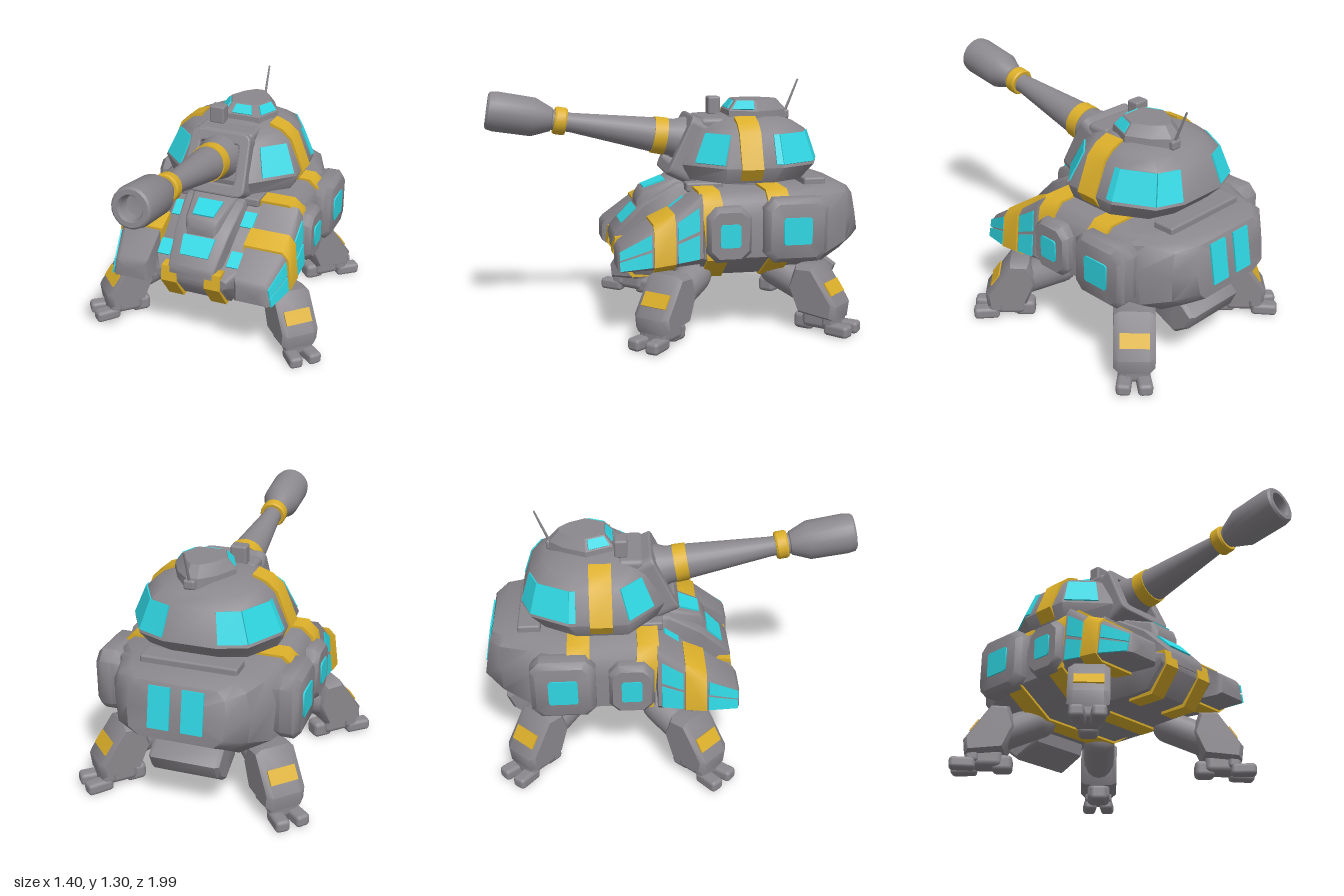
import * as THREE from 'three';
import { toCreasedNormals } from 'three/addons/utils/BufferGeometryUtils.js';
import { RoundedBoxGeometry } from 'three/addons/geometries/RoundedBoxGeometry.js';

const mat = (name, color) => Object.assign(new THREE.MeshStandardMaterial({ color }), { name });
const V = (x, y, z) => new THREE.Vector3(x, y, z);
const lerp = THREE.MathUtils.lerp;

// Closed skin over a list of equal-length rings, turned outward and creased
function loft(rings, crease = 0.8) {
  const n = rings[0].length, pts = rings.flat(), idx = [];
  for (let r = 0; r < rings.length - 1; r++)
    for (let i = 0; i < n; i++) {
      const a = r * n + i, b = r * n + (i + 1) % n;
      idx.push(a, b, b + n, a, b + n, a + n);
    }
  [0, rings.length - 1].forEach((r, end) => {
    const c = pts.length;
    pts.push(rings[r].reduce((s, p) => s.add(p), V(0, 0, 0)).divideScalar(n));
    for (let i = 0; i < n; i++) {
      const a = r * n + i, b = r * n + (i + 1) % n;
      idx.push(c, end ? a : b, end ? b : a);
    }
  });
  let vol = 0;
  for (let i = 0; i < idx.length; i += 3)
    vol += pts[idx[i]].dot(V(0, 0, 0).crossVectors(pts[idx[i + 1]], pts[idx[i + 2]]));
  if (vol < 0) idx.reverse();
  const g = new THREE.BufferGeometry().setFromPoints(pts);
  g.setIndex(idx);
  return toCreasedNormals(g, crease);
}

// Thin plate over a polygon, raised away from the point ref
function plate(pts, ref) {
  const n = V(0, 0, 0).crossVectors(pts[2].clone().sub(pts[0]), pts[3].clone().sub(pts[1])).normalize();
  if (n.dot(pts[0].clone().sub(ref)) < 0) n.negate();
  return loft([-0.001, 0.008].map(d => pts.map(p => p.clone().addScaledVector(n, d))));
}

// Side profile of [z, y] points swept from x0 to x1 with bevelled ends
function slab(profile, x0, x1, bevel = 0, shrink = 0.85) {
  const n = profile.length;
  const cz = profile.reduce((s, p) => s + p[0], 0) / n, cy = profile.reduce((s, p) => s + p[1], 0) / n;
  const ring = (x, k) => profile.map(([z, y]) => V(x, cy + (y - cy) * k, cz + (z - cz) * k));
  return loft(bevel ? [ring(x0, shrink), ring(x0 + bevel, 1), ring(x1 - bevel, 1), ring(x1, shrink)]
    : [ring(x0, 1), ring(x1, 1)]);
}

// Full ring from the +x half of a cross-section
const mirrorRing = half => [...half, ...half.map(p => V(-p.x, p.y, p.z)).reverse()];
const section = (half, z) => mirrorRing(half.map(p => V(p[0], p[1], p[2] ?? z)));
const flip = (pts, s) => pts.map(p => V(p.x * s, p.y, p.z));

export function createModel() {
  const grey = mat('hull grey', 0x8b888d), gold = mat('trim gold', 0xdaae2a), cyan = mat('panel cyan', 0x2fd6e2);
  const model = new THREE.Group();
  model.name = 'walkerTank';
  const add = (name, geo, m, parent = model) => {
    const mesh = new THREE.Mesh(geo, m);
    mesh.name = name;
    parent.add(mesh);
    return mesh;
  };
  const box = (name, size, pos, parent = model, r = 0.012) => {
    const mesh = add(name, new RoundedBoxGeometry(...size, 2, r), grey, parent);
    mesh.position.set(...pos);
    return mesh;
  };

  // Hull
  const mid = [[0.39, 0.752], [0.445, 0.705], [0.465, 0.6], [0.465, 0.42], [0.25, 0.285]];
  add('hull', loft([
    section([[0.2, 0.735, -0.935], [0.24, 0.7, -0.95], [0.25, 0.6, -0.967], [0.24, 0.5, -0.985], [0.19, 0.45, -0.975]]),
    section([[0.27, 0.755, -0.865], [0.325, 0.72, -0.885], [0.345, 0.6, -0.89], [0.335, 0.46, -0.89], [0.24, 0.4, -0.89]]),
    section([[0.31, 0.755], [0.37, 0.72], [0.42, 0.6], [0.4, 0.4], [0.24, 0.3]], -0.74),
    section(mid, -0.62), section(mid, -0.09),
    section([[0.25, 0.735], [0.27, 0.72], [0.28, 0.6], [0.28, 0.42], [0.22, 0.285]], -0.085),
    section([[0.245, 0.58], [0.26, 0.56], [0.265, 0.5], [0.26, 0.38], [0.2, 0.28]], 0.12),
    section([[0.24, 0.49], [0.25, 0.475], [0.25, 0.45], [0.25, 0.38], [0.195, 0.285]], 0.23),
    section([[0.18, 0.46], [0.2, 0.45], [0.2, 0.44], [0.2, 0.42], [0.18, 0.4]], 0.33),
  ]), grey);
  // Bands round the hull, leaning back slightly towards the bottom
  const bandRing = (z, lean) => section(mid.map(([x, y]) => [x * 1.03, 0.52 + (y - 0.52) * 1.05, z - lean * (0.76 - y)]));
  for (const [a, b, lean] of [[-0.18, -0.07, 0.1], [-0.54, -0.425, 0.02]])
    add('hullBand', loft([bandRing(a, lean), bandRing(b, lean)]), gold);

  // Nose plates
  const nose = (rows, bottom) => loft(rows.map(([z, w, y]) =>
    section([[w - 0.012, y], [w, y - 0.012], [w, bottom]], z)));
  add('nosePlate', nose([[-0.1, 0.17, 0.775], [0, 0.17, 0.765], [0.17, 0.155, 0.66], [0.325, 0.13, 0.505], [0.335, 0.12, 0.48]], 0.43), grey);
  add('noseBlock', nose([[-0.1, 0.13, 0.79], [0, 0.125, 0.785], [0.17, 0.095, 0.725], [0.2, 0.075, 0.68]], 0.6), grey);
  const below = V(0, 0, 0);
  const slope = (z0, y0, w0, z1, y1, w1) => plate([V(-w0, y0, z0), V(w0, y0, z0), V(w1, y1, z1), V(-w1, y1, z1)], below);
  add('upperNosePanel', slope(0.045, 0.77, 0.072, 0.16, 0.7293, 0.06), cyan);
  add('lowerNosePanel', slope(0.205, 0.626, 0.092, 0.285, 0.546, 0.08), cyan);
  box('deckFront', [0.48, 0.05, 0.2], [0, 0.755, -0.14]);
  box('rearDeck', [0.5, 0.06, 0.12], [0, 0.76, -0.74]);
  add('rearBelly', slab([[-0.81, 0.36], [-0.9, 0.29], [-0.865, 0.21], [-0.78, 0.15], [-0.62, 0.22], [-0.6, 0.34]], -0.185, 0.185, 0.02), grey);

  // Front pod cross-section at z, grown by g
  const podTop = [[-0.08, 0.755], [0.06, 0.65], [0.17, 0.6], [0.36, 0.475]];
  const pod = (z, g = 0) => {
    const i = z < 0.06 ? 0 : z < 0.17 ? 1 : 2, [a, b] = [podTop[i], podTop[i + 1]];
    const top = lerp(a[1], b[1], (z - a[0]) / (b[0] - a[0]));
    const bot = lerp(0.4, 0.36, (z + 0.08) / 0.43), h = top - bot, ox = 0.5 - 0.045 * Math.max(0, (z - 0.17) / 0.18);
    return [V(0.25 - g, top + g, z), V(ox - 0.045, top + g, z), V(ox - 0.02 + g, top - 0.12 * h, z),
      V(ox + g, bot + 0.1 * h, z), V(ox - 0.035, bot - g, z), V(0.25 - g, bot - g, z)];
  };
  const octagon = (z, y, w, h, c) => [[w - c, h], [w, h - c], [w, c - h], [w - c, -h], [c - w, -h], [-w, c - h], [-w, h - c], [c - w, h]]
    .map(([a, b]) => [z + a, y + b]);

  for (const s of [1, -1]) {
    // Front pods with gold band and side panels
    add('frontPod', loft([-0.08, 0.06, 0.17, 0.33, 0.35].map((z, i) => flip(pod(z, i === 4 ? -0.015 : 0), s))), grey);
    add('frontPodBand', loft([0.062, 0.172].map(z => flip(pod(z, 0.012), s))), gold);
    for (const [z0, z1] of [[-0.06, 0.05], [0.182, 0.34]])
      for (const [v0, v1] of [[0.02, 0.46], [0.54, 1]]) {
        const at = (z, v) => { const r = pod(z); return r[2].clone().lerp(r[3], v); };
        add('podSidePanel', plate(flip([at(z0, v0), at(z1, v0), at(z1, v1), at(z0, v1)], s), V(0, 0.5, 0)), cyan);
      }
    // Glacis panels and chin straps
    for (const [z0, z1] of [[-0.035, 0.04], [0.16, 0.235]]) {
      const y = z => 0.735 - 0.756 * (z + 0.085);
      add('glacisPanel', plate(flip([V(0.17, y(z0), z0), V(0.24, y(z0), z0), V(0.237, y(z1), z1), V(0.165, y(z1), z1)], s), below), cyan);
    }
    add('chinStrap', slab([[0.27, 0.49], [0.33, 0.485], [0.343, 0.4], [0.305, 0.35], [0.24, 0.264], [0.08, 0.266], [0.1, 0.38]],
      s * 0.125 - 0.045, s * 0.125 + 0.045), gold);
    // Side pods
    for (const [z, y, w, h, x] of [[-0.565, 0.565, 0.167, 0.167, 0.532], [-0.215, 0.55, 0.117, 0.143, 0.522]]) {
      const ring = (px, k) => octagon(z, y, w * k, h * k, 0.05 * k).map(([a, b]) => V(s * px, b, a));
      add('sidePod', loft([ring(0.36, 0.9), ring(0.44, 1), ring(x - 0.03, 1), ring(x, 0.84)]), grey);
      const pw = w * 0.45, ph = h * 0.42;
      add('sidePodPanel', plate(octagon(z, y, pw, ph, 0.01).map(([a, b]) => V(s * x, b, a)), V(0, y, z)), cyan);
    }
    // Rear lights
    add('rearPanel', plate(flip([V(0.03, 0.72, -0.945), V(0.14, 0.72, -0.945), V(0.14, 0.51, -0.983), V(0.03, 0.51, -0.983)], s), V(0, 0.6, 0)), cyan);
  }

  // Turret: a plan outline sized per level [y, half width, front z, rear z]
  const levels = [[0.79, 0.355, -0.06, -0.7], [0.87, 0.388, -0.03, -0.775], [1.04, 0.315, -0.11, -0.72], [1.085, 0.262, -0.17, -0.65], [1.118, 0.18, -0.27, -0.56]];
  const plan = [[0.48, 1], [1, 0.48], [1, -0.33], [0.72, -0.85], [0.35, -1]];
  const levelRing = ([y, w, f, r]) => plan.map(([u, t]) => V(u * w, y, (f + r) / 2 + t * (f - r) / 2));
  add('turret', loft(levels.map(l => mirrorRing(levelRing(l)))), grey);
  const onTurret = (k, y) => {
    const i = Math.min(3, Math.floor(k)), v = (y - 0.87) / 0.17;
    const [a, b] = [levels[1], levels[2]].map(l => { const r = levelRing(l); return r[i].clone().lerp(r[i + 1], k - i); });
    return a.lerp(b, v);
  };
  const bandShape = new THREE.Shape([[0.355, 0.795], [0.402, 0.865], [0.329, 1.047], [0.273, 1.095], [0.2, 1.122], [0.2, 1.08], [0.26, 1.04], [0.3, 0.9]]
    .map(p => new THREE.Vector2(...p)));
  for (const s of [1, -1]) {
    for (const [k0, k1] of [[0.28, 0.96], [1.88, 2], [2, 3], [3, 3.95]])
      add('turretPanel', plate(flip([onTurret(k0, 0.885), onTurret(k1, 0.885), onTurret(k1, 1.035), onTurret(k0, 1.035)], s), V(0, 0.9, -0.38)), cyan);
    const g = new THREE.ExtrudeGeometry(bandShape, { depth: 0.115, bevelEnabled: false });
    const band = add('turretBand', toCreasedNormals(g.translate(0, 0, -0.0575), 0.8), gold);
    band.position.z = -0.36;
    if (s < 0) band.rotation.y = Math.PI;
  }
  add('turretNeck', new THREE.CylinderGeometry(0.2, 0.2, 0.08, 24), grey).position.set(0, 0.77, -0.42);

  // Gun frame and the housing behind it
  const rounded = (P, w, h, r) => {
    const p = new P(), t = w * 0.94;
    p.moveTo(r - w, -h).lineTo(w - r, -h).quadraticCurveTo(w, -h, w, r - h).lineTo(t, h - r).quadraticCurveTo(t, h, t - r, h);
    return p.lineTo(r - t, h).quadraticCurveTo(-t, h, -t, h - r).lineTo(-w, r - h).quadraticCurveTo(-w, -h, r - w, -h);
  };
  const frameShape = rounded(THREE.Shape, 0.172, 0.162, 0.04);
  frameShape.holes.push(rounded(THREE.Path, 0.128, 0.118, 0.03));
  const frame = add('gunFrame', new THREE.ExtrudeGeometry(frameShape, { depth: 0.14, bevelSize: 0.01, bevelThickness: 0.01, bevelSegments: 2 }).translate(0, 0, -0.15), grey);
  frame.position.set(0, 0.97, -0.02);
  frame.rotation.x = -0.45;
  box('gunHousing', [0.33, 0.12, 0.14], [0, 1.05, -0.2], model, 0.025);

  // Gun, turned about its own axis and tilted up
  const gun = new THREE.Group();
  gun.name = 'gun';
  gun.position.set(0, 0.985, -0.05);
  gun.rotation.x = Math.PI / 2 - 0.166;
  model.add(gun);
  const turned = (name, pts, m) => add(name, toCreasedNormals(new THREE.LatheGeometry(pts.map(p => new THREE.Vector2(...p)), 24), 0.5), m, gun);
  turned('barrel', [[0, -0.1], [0.12, -0.1], [0.12, 0], [0.1, 0.05], [0.092, 0.17], [0.052, 0.6], [0.055, 0.7], [0.063, 0.705], [0.103, 0.8],
    [0.106, 1.0], [0.1, 1.035], [0.09, 1.045], [0.066, 1.045], [0.058, 1.03], [0.055, 0.97], [0, 0.96]], grey);
  turned('rearBarrelRing', [[0.08, 0.085], [0.102, 0.085], [0.099, 0.155], [0.08, 0.155]], gold);
  turned('frontBarrelRing', [[0.04, 0.625], [0.068, 0.625], [0.074, 0.635], [0.074, 0.68], [0.068, 0.69], [0.04, 0.69]], gold);

  // Cupola, tapering to the rear, with slanted windows at the front and sides
  const cupola = (k, y) => mirrorRing([[0.1, 0.15], [0.16, 0.01], [0.1, -0.11], [0.03, -0.18]]
    .map(([x, z]) => V(x * k, y, z * k))).map(p => p.add(V(0.04, 0, -0.44)));
  const cupolaLow = cupola(1, 1.145), cupolaHigh = cupola(0.72, 1.2);
  add('cupola', loft([cupola(1.03, 1.09), cupolaLow, cupolaHigh], 0.4), grey);
  for (const [i, j, m] of [[0, 1, 0.1], [7, 6, 0.1], [7, 0, 0.2]]) {
    const at = (t, v) => cupolaLow[i].clone().lerp(cupolaLow[j], t).lerp(cupolaHigh[i].clone().lerp(cupolaHigh[j], t), v);
    add('cupolaWindow', plate([at(m, 0.12), at(1 - m, 0.12), at(1 - m, 0.88), at(m, 0.88)], V(0.04, 1.05, -0.44)), cyan);
  }
  box('sight', [0.085, 0.1, 0.07], [-0.08, 1.155, -0.25]);
  box('antennaBase', [0.06, 0.05, 0.06], [0.05, 1.115, -0.61]);
  const antenna = add('antenna', new THREE.CylinderGeometry(0.005, 0.008, 0.2, 8), grey);
  antenna.position.set(0.05, 1.21, -0.655);
  antenna.rotation.x = -0.38;

  // Legs, each built facing outward along its own +z
  const shin = [[-0.14, 0.1], [-0.2, 0.24], [-0.16, 0.355], [-0.06, 0.36], [0.08, 0.16], [0.07, 0.08]];
  for (const s of [1, -1])
    for (const [name, x, z, dz] of [['frontLeg', 0.54, 0.16, 1], ['rearLeg', 0.46, -0.765, -1]]) {
      const leg = new THREE.Group();
      leg.name = name;
      leg.position.set(s * x, 0, z);
      leg.rotation.y = Math.atan2(s, dz);
      model.add(leg);
      add('shin', slab(shin, -0.105, 0.105, 0.03), grey, leg);
      add('shinPad', plate([V(-0.075, 0.274, 0), V(0.075, 0.274, 0), V(0.075, 0.211, 0.044), V(-0.075, 0.211, 0.044)], V(0, 0.1, -0.2)), gold, leg);
      const thigh = add('thigh', new THREE.CapsuleGeometry(0.09, 0.2, 6, 16), grey, leg);
      thigh.position.set(0, 0.26, -0.23);
      thigh.rotation.x = -1.2;
      box('ankle', [0.13, 0.1, 0.2], [0, 0.07, -0.03], leg, 0.03);
      for (const t of [-1, 1]) {
        box('toe', [0.075, 0.065, 0.14], [t * 0.05, 0.033, 0.08], leg, 0.02).rotation.y = t * 0.1;
        box('toeKnuckle', [0.06, 0.07, 0.07], [t * 0.05, 0.075, 0.03], leg, 0.02);
      }
      box('heel', [0.1, 0.09, 0.11], [0, 0.045, -0.13], leg, 0.025);
    }
  return model;
}
